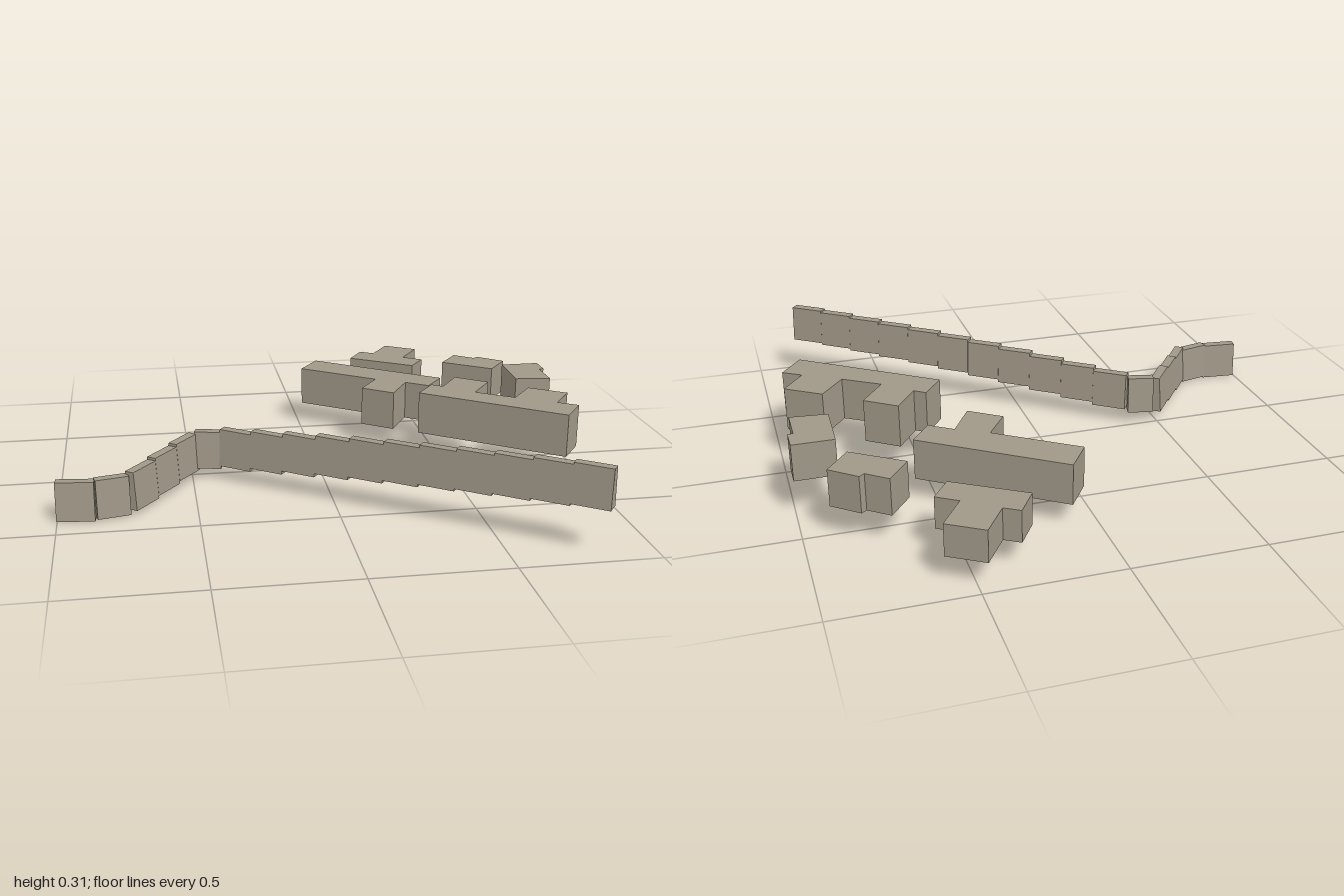
import * as THREE from 'three';

const stone = new THREE.MeshStandardMaterial({ color: 0xa09888, flatShading: true });

// Flat-roofed block from a ground plan of [x, z] corners
function building(name, bottom, top, plan) {
  const shape = new THREE.Shape(plan.map(([x, z]) => new THREE.Vector2(x, -z)));
  const geo = new THREE.ExtrudeGeometry(shape, { depth: top - bottom, bevelEnabled: false });
  geo.rotateX(-Math.PI / 2);
  const mesh = new THREE.Mesh(geo, stone);
  mesh.name = name;
  mesh.position.y = bottom;
  return mesh;
}

// Straight wall piece between two [x, z] points, tapering towards its top
const WALL_HEIGHT = 0.145;
function wallSegment(a, b, top) {
  const dx = b[0] - a[0], dz = b[1] - a[1];
  const foot = 0.028, crest = 0.018;
  const section = new THREE.Shape([
    new THREE.Vector2(-foot, 0), new THREE.Vector2(foot, 0),
    new THREE.Vector2(crest, WALL_HEIGHT), new THREE.Vector2(-crest, WALL_HEIGHT),
  ]);
  const geo = new THREE.ExtrudeGeometry(section, { depth: Math.hypot(dx, dz), bevelEnabled: false });
  const mesh = new THREE.Mesh(geo, stone);
  mesh.name = 'wallSegment';
  mesh.position.set(a[0], top - WALL_HEIGHT, a[1]);
  mesh.rotation.y = Math.atan2(dx, dz);
  return mesh;
}

// Run of equal segments, one step of height for each
function wallRun(name, a, b, tops) {
  const run = new THREE.Group();
  run.name = name;
  const at = (t) => [a[0] + (b[0] - a[0]) * t, a[1] + (b[1] - a[1]) * t];
  tops.forEach((top, i) => run.add(wallSegment(at(i / tops.length), at((i + 1) / tops.length), top)));
  return run;
}

export function createModel() {
  const model = new THREE.Group();
  model.name = 'walledSettlement';

  // Stepped boundary wall
  const wall = new THREE.Group();
  wall.name = 'boundaryWall';
  wall.add(
    wallRun('wallEnd', [-1.0, 0.36], [-0.863, 0.375], [0.145]),
    wallRun('wallLowerBend', [-0.863, 0.375], [-0.745, 0.348], [0.15]),
    wallRun('wallMiddle', [-0.74, 0.35], [-0.495, 0.025], [0.16, 0.17, 0.18]),
    wallRun('wallUpperBend', [-0.485, 0.023], [-0.386, 0.047], [0.19]),
    wallRun('wallLong', [-0.383, 0.05], [0.831, 0.943],
      [0.203, 0.216, 0.23, 0.244, 0.256, 0.267, 0.277, 0.286, 0.294, 0.302, 0.309]),
  );
  model.add(wall);

  // Buildings behind the wall
  model.add(
    building('rearBuilding', 0.095, 0.215, [
      [0.47, -0.975], [0.595, -0.895], [0.51, -0.77], [0.585, -0.72],
      [0.52, -0.63], [0.27, -0.79], [0.335, -0.89], [0.39, -0.855]]),
    building('longBuilding', 0.085, 0.24, [
      [0.095, -0.69], [0.575, -0.345], [0.5, -0.245], [0.415, -0.305],
      [0.335, -0.17], [0.22, -0.255], [0.3, -0.37], [0.015, -0.575]]),
    building('smallBuilding', 0.115, 0.255, [
      [0.71, -0.63], [0.785, -0.57], [0.805, -0.585],
      [0.9, -0.505], [0.815, -0.395], [0.63, -0.525]]),
    building('sideBuilding', 0.145, 0.285, [
      [0.845, -0.35], [1.0, -0.35], [1.0, -0.265],
      [0.98, -0.26], [0.98, -0.125], [0.84, -0.14]]),
    building('wingedBuilding', 0.13, 0.295, [
      [0.59, -0.17], [0.705, -0.085], [0.615, 0.04], [0.75, 0.13], [0.84, 0.015], [0.97, 0.105],
      [0.89, 0.215], [0.96, 0.26], [0.88, 0.37], [0.395, 0.015], [0.47, -0.085], [0.51, -0.055]]),
  );
  return model;
}
